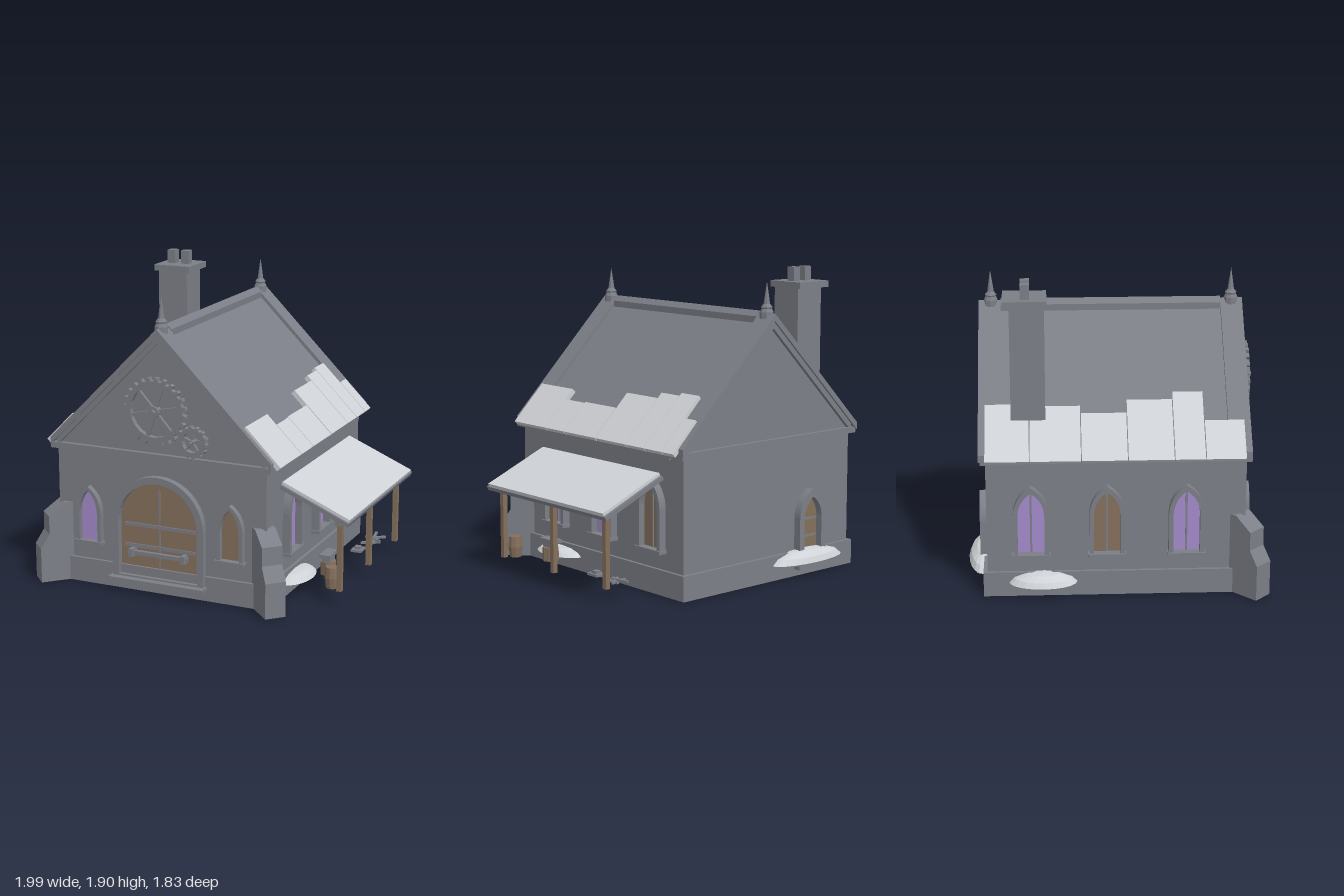
import * as THREE from 'three';

const mat = (name, color, flat = true) => Object.assign(new THREE.MeshStandardMaterial({ color, flatShading: flat }), { name });
const RIDGE = -0.15; // x of the ridge line

export function createModel() {
  const stone = mat('stone grey', 0x7c7f87);
  const snow = mat('snow white', 0xcfd2d6);
  const wood = mat('wood brown', 0x85705c);
  const glass = mat('violet glass', 0xa48bcb);
  const root = new THREE.Group();
  root.name = 'forgeHouse';

  const add = (name, geo, m, parent = root) => {
    const mesh = new THREE.Mesh(geo, m);
    mesh.name = name;
    parent.add(mesh);
    return mesh;
  };
  // Box given by its limits on each axis
  const box = (name, x0, x1, y0, y1, z0, z1, m = stone, parent = root) => {
    const b = add(name, new THREE.BoxGeometry(x1 - x0, y1 - y0, z1 - z0), m, parent);
    b.position.set((x0 + x1) / 2, (y0 + y1) / 2, (z0 + z1) / 2);
    return b;
  };
  const poly = (pts) => new THREE.Shape(pts.map(([x, y]) => new THREE.Vector2(x, y)));
  const slab = (name, shape, z0, z1, m = stone, parent = root) => {
    const geo = new THREE.ExtrudeGeometry(shape, { depth: z1 - z0, bevelEnabled: false, curveSegments: 10 });
    return add(name, geo.translate(0, 0, z0), m, parent);
  };
  const group = (name, x, y, z, ry = 0) => {
    const g = new THREE.Group();
    g.name = name;
    g.position.set(x, y, z);
    g.rotation.y = ry;
    root.add(g);
    return g;
  };

  // Walls, gables, plinth and cornice
  slab('walls', poly([[-0.85, 0.01], [0.55, 0.01], [0.55, 0.89], [RIDGE, 1.59], [-0.85, 0.89]]), -0.785, 0.766);
  box('plinth', -0.87, 0.57, 0, 0.155, -0.81, 0.785);
  box('cornice', -0.885, 0.585, 0.85, 0.888, -0.815, 0.795);

  // Roof as chevrons: the main covering and a raised coping at each gable
  const chevron = (u, top, t) => poly([[RIDGE - u, top - u], [RIDGE - u, top - u - t], [RIDGE, top - t],
    [RIDGE + u, top - u - t], [RIDGE + u, top - u], [RIDGE, top]]);
  slab('roof', chevron(0.735, 1.625, 0.06), -0.7, 0.68);
  slab('frontCoping', chevron(0.74, 1.655, 0.045), 0.66, 0.795);
  slab('backCoping', chevron(0.74, 1.655, 0.045), -0.825, -0.69);
  slab('frontGableTrim', chevron(0.7, 1.615, 0.05), 0.75, 0.785);
  slab('backGableTrim', chevron(0.7, 1.615, 0.05), -0.81, -0.77);
  slab('ridgeCap', chevron(0.033, 1.665, 0.045), -0.69, 0.66);

  // Snow sheets along both eaves: [z start, z end, distance of upper edge from ridge]
  const sheets = (side, list) => list.forEach(([z0, z1, u]) => {
    const top = 1.675, e = 0.785, t = 0.022;
    const p = [[u, top - u], [u - t, top - u - t], [e - t, top - e - t], [e, top - e]];
    slab(side > 0 ? 'leftEaveSnow' : 'rightEaveSnow', poly(p.map(([a, y]) => [RIDGE + side * a, y])), z0, z1, snow);
  });
  sheets(1, [[0.435, 0.76, 0.56], [0.245, 0.43, 0.62], [-0.06, 0.24, 0.615], [-0.355, -0.07, 0.53],
    [-0.52, -0.36, 0.5], [-0.68, -0.525, 0.485], [-0.785, -0.685, 0.605]]);
  sheets(-1, [[0.52, 0.755, 0.605], [0.335, 0.515, 0.47], [0.06, 0.33, 0.505], [-0.215, 0.055, 0.565],
    [-0.52, -0.22, 0.53], [-0.785, -0.525, 0.52]]);

  // Finials at both ends of the ridge
  const finial = [[0, 1.62], [0.042, 1.62], [0.042, 1.66], [0.032, 1.68], [0.036, 1.69], [0.02, 1.71], [0.013, 1.76], [0, 1.845]];
  for (const z of [0.725, -0.75]) {
    add('finial', new THREE.LatheGeometry(finial.map(([x, y]) => new THREE.Vector2(x, y)), 8), stone).position.set(RIDGE, 0, z);
  }

  // Chimney
  box('chimneyShaft', -0.745, -0.54, 0.95, 1.78, -0.63, -0.425);
  box('chimneyCap', -0.77, -0.515, 1.772, 1.812, -0.67, -0.41);
  for (const x of [-0.693, -0.595]) box('chimneyPot', x - 0.028, x + 0.028, 1.8, 1.9, -0.565, -0.51);

  // Arched openings, built facing +z
  const arch = (h, y0, spring, apex, round) => {
    const s = new THREE.Shape();
    s.moveTo(-h, y0);
    s.lineTo(h, y0);
    s.lineTo(h, spring);
    if (round) s.absarc(0, spring, h, 0, Math.PI);
    else {
      s.quadraticCurveTo(h * 0.95, spring + (apex - spring) * 0.65, 0, apex);
      s.quadraticCurveTo(-h * 0.95, spring + (apex - spring) * 0.65, -h, spring);
    }
    s.closePath();
    return s;
  };
  const opening = (name, place, outer, inner, depth, m, round = false) => {
    const g = group(name, ...place);
    const ring = arch(...outer, round);
    ring.holes.push(arch(...inner, round));
    slab('archFrame', ring, -0.01, depth, stone, g);
    slab('pane', arch(...inner, round), -0.004, 0.005, m, g);
    return g;
  };

  // Front windows
  for (const [x, m] of [[-0.63, glass], [0.325, wood]]) {
    const g = opening('frontWindow', [x, 0, 0.766], [0.086, 0.265, 0.47, 0.63], [0.062, 0.28, 0.46, 0.605], 0.04, m);
    box('sill', -0.096, 0.096, 0.262, 0.282, 0, 0.05, stone, g);
  }
  // Side windows
  const sideWindow = (x, z, ry, m) => {
    const g = opening('sideWindow', [x, 0, z, ry], [0.107, 0.265, 0.53, 0.71], [0.08, 0.28, 0.53, 0.675], 0.05, m);
    box('sill', -0.115, 0.115, 0.258, 0.28, 0, 0.06, stone, g);
    box('mullion', -0.006, 0.006, 0.28, 0.67, 0, 0.012, stone, g);
  };
  [[0.41, glass, glass], [-0.065, glass, wood], [-0.52, wood, glass]].forEach(([z, left, right]) => {
    sideWindow(0.55, z, Math.PI / 2, left);
    sideWindow(-0.85, z, -Math.PI / 2, right);
  });
  // Back hatch
  const hatch = opening('backHatch', [-0.49, 0, -0.785, Math.PI], [0.115, 0.12, 0.37, 0.54], [0.075, 0.15, 0.36, 0.49], 0.05, wood);
  for (const y of [0.23, 0.34]) box('hatchStrap', -0.065, 0.065, y, y + 0.014, 0, 0.01, stone, hatch);
  box('hatchSill', -0.14, 0.14, 0.045, 0.085, 0, 0.075, stone, hatch);

  // Main door with straps, locking bar and step
  const door = opening('mainDoor', [-0.152, 0, 0.766], [0.307, 0.09, 0.44, 0.745], [0.265, 0.1, 0.44, 0.705], 0.045, wood, true);
  for (const y of [0.275, 0.41]) box('doorStrap', -0.24, 0.24, y, y + 0.022, 0.003, 0.012, stone, door);
  box('doorSeam', -0.005, 0.005, 0.155, 0.66, 0.003, 0.009, stone, door);
  box('lockingBar', -0.2, 0.2, 0.238, 0.262, 0.02, 0.045, stone, door);
  for (const x of [-0.175, 0.175]) box('barBracket', x - 0.014, x + 0.014, 0.225, 0.275, 0, 0.06, stone, door);
  box('doorStep', -0.32, 0.32, 0.07, 0.09, 0, 0.09, stone, door);

  // Corner buttresses set diagonally
  const buttress = poly([[-0.15, 0], [0.147, 0], [0.147, 0.22], [0.09, 0.31], [0.09, 0.425], [-0.02, 0.505], [-0.15, 0.505]]);
  for (const [x, a] of [[0.55, -Math.PI / 4], [-0.85, -Math.PI * 3 / 4]]) {
    slab('buttress', buttress, -0.065, 0.065, stone, group('cornerButtress', x, 0, 0.766, a));
  }

  // Gears on the front gable
  const gear = (x, y, r, hole, teeth, spokes) => {
    const g = group('gear', x, y, 0.8);
    const pts = [];
    for (let i = 0; i < teeth; i++) {
      [[0, 0.9], [0.42, 0.9], [0.52, 1], [0.9, 1]].forEach(([f, k]) => {
        const a = (i + f) / teeth * Math.PI * 2;
        pts.push([Math.cos(a) * r * k, Math.sin(a) * r * k]);
      });
    }
    const s = poly(pts);
    s.holes.push(new THREE.Path().absarc(0, 0, hole, 0, Math.PI * 2, true));
    slab('gearRim', s, 0, 0.035, stone, g);
    for (let i = 0; i < spokes; i++) {
      const spoke = add('gearSpoke', new THREE.BoxGeometry(hole * 1.05, r * 0.1, 0.02).translate(hole * 0.525, 0, 0.018), stone, g);
      spoke.rotation.z = (i + 0.2) / spokes * Math.PI * 2;
    }
    const hub = (name, rad, z0, z1) => add(name, new THREE.CylinderGeometry(rad, rad, z1 - z0, 12).rotateX(Math.PI / 2).translate(0, 0, (z0 + z1) / 2), stone, g);
    hub('gearHub', r * 0.17, 0, 0.042);
    hub('gearAxle', r * 0.08, -0.04, 0.062);
  };
  gear(-0.153, 1.16, 0.21, 0.157, 24, 6);
  gear(0.095, 1.0, 0.098, 0.062, 14, 5);

  // Lean-to canopy on posts
  const canopy = group('canopy', 0.772, 0.625, -0.015);
  canopy.rotation.z = -Math.atan2(0.185, 0.435);
  box('canopyFrame', -0.238, 0.238, -0.018, 0.008, -0.59, 0.585, stone, canopy);
  box('canopySnow', -0.238, 0.23, 0.008, 0.026, -0.57, 0.57, snow, canopy);
  box('canopyBeam', 0.9, 0.932, 0.51, 0.54, -0.58, 0.55);
  for (const z of [0.5, -0.013, -0.517]) box('canopyPost', 0.9, 0.932, 0.085, 0.54, z - 0.016, z + 0.016, wood);

  // Barrel and anvil on a stump
  const barrel = [[0, 0], [0.038, 0], [0.047, 0.065], [0.04, 0.132], [0, 0.132]];
  add('barrel', new THREE.LatheGeometry(barrel.map(([x, y]) => new THREE.Vector2(x, y)), 10), wood).position.set(0.855, 0.087, 0.465);
  add('stump', new THREE.CylinderGeometry(0.05, 0.053, 0.085, 8), wood).position.set(0.745, 0.128, 0.245);
  box('anvilWaist', 0.72, 0.77, 0.17, 0.205, 0.2, 0.29);
  box('anvilTop', 0.71, 0.78, 0.203, 0.225, 0.175, 0.315);

  // Loose ironwork beside the wall
  box('ingot', 0.73, 0.8, 0.085, 0.1, -0.28, -0.19);
  box('ingotTop', 0.745, 0.785, 0.1, 0.115, -0.255, -0.215);
  for (let i = 0; i < 5; i++) {
    const bar = add('scrapBar', new THREE.BoxGeometry(0.13, 0.014, 0.016), stone);
    bar.position.set(0.79 + 0.015 * (i % 2), 0.09 + 0.005 * i, -0.4 - 0.022 * i);
    bar.rotation.y = 0.5 + i * 1.1;
  }

  // Snow drifts against the plinth
  const drift = [[0, 0], [0.8, 0], [1, 0.15], [0.85, 0.55], [0.5, 0.88], [0, 1]];
  const driftGeo = new THREE.LatheGeometry(drift.map(([x, y]) => new THREE.Vector2(x, y)), 20);
  [[-0.46, -0.81, 0.295, 0.1, 0.09], [-0.87, -0.45, 0.115, 0.205, 0.08], [0.57, 0.36, 0.12, 0.2, 0.055]].forEach(([x, z, rx, rz, h]) => {
    const d = add('snowDrift', driftGeo, snow);
    d.position.set(x, 0.08, z);
    d.scale.set(rx, h, rz);
  });
  return root;
}
